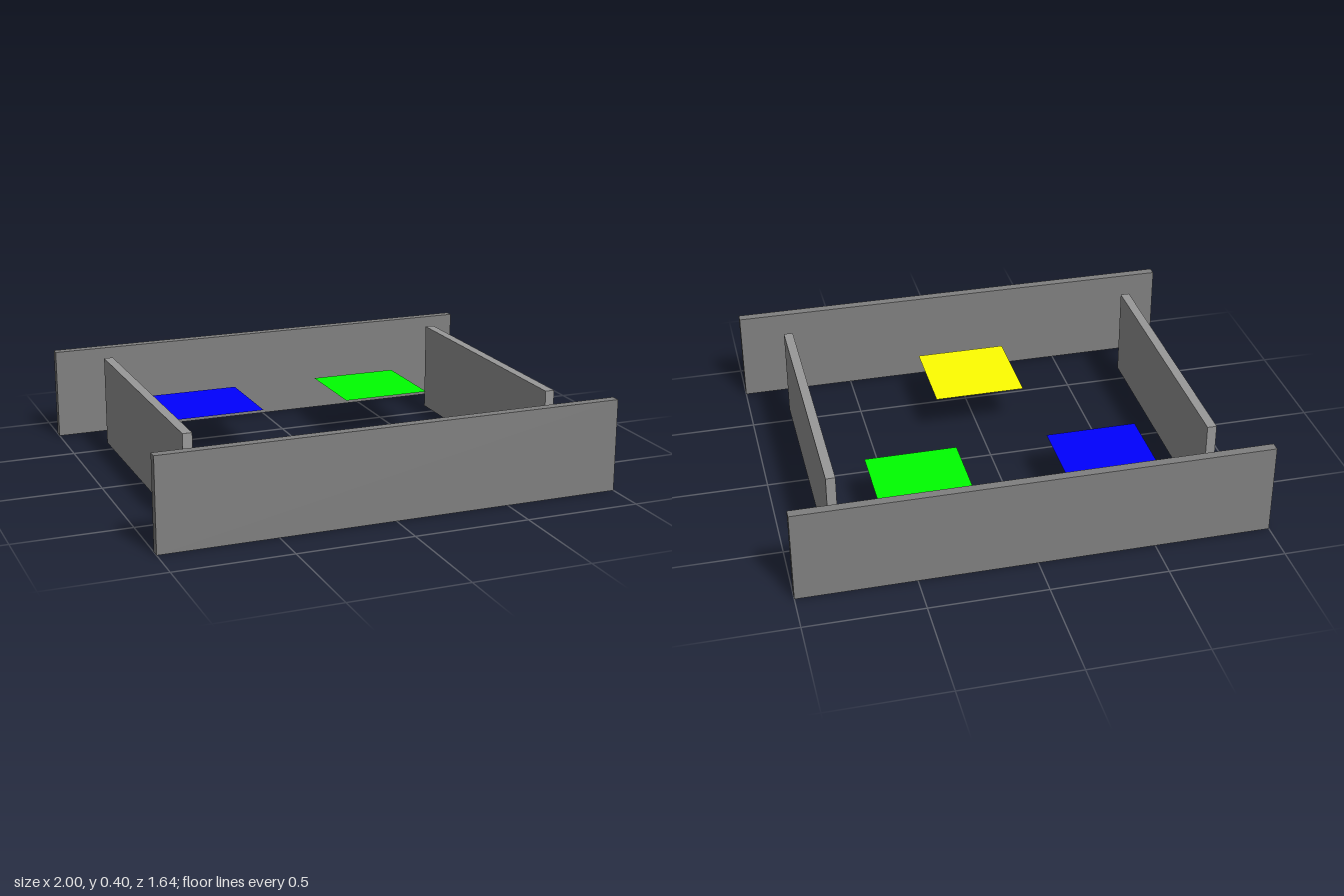
import * as THREE from 'three';

const material = (color, side = THREE.FrontSide) => new THREE.MeshStandardMaterial({ color, side });

export function createModel() {
  const model = new THREE.Group();
  model.name = 'walledArena';

  const add = (name, geometry, mat, x, y, z) => {
    const mesh = new THREE.Mesh(geometry, mat);
    mesh.name = name;
    mesh.position.set(x, y, z);
    model.add(mesh);
  };

  // Long walls at front and back, shorter walls at the sides
  const height = 0.4, thickness = 0.04;
  const longWall = new THREE.BoxGeometry(2, height, thickness);
  const sideWall = new THREE.BoxGeometry(thickness, height, 1.2);
  const longGrey = material(0x808080);
  const sideGrey = material(0x999999);
  for (const s of [1, -1]) {
    add(s > 0 ? 'frontWall' : 'backWall', longWall, longGrey, 0, height / 2, s * 0.8);
    add(s > 0 ? 'leftWall' : 'rightWall', sideWall, sideGrey, s * 0.8, height / 2, 0);
  }

  // Flat coloured pads at half the wall height
  const pad = new THREE.PlaneGeometry(0.4, 0.4).rotateX(-Math.PI / 2);
  const pads = [
    ['bluePad', 0x0000ff, -0.4, -0.4],
    ['greenPad', 0x00ff00, 0.4, -0.4],
    ['yellowPad', 0xffff00, 0, 0.4],
  ];
  for (const [name, color, x, z] of pads) {
    add(name, pad, material(color, THREE.DoubleSide), x, height / 2, z);
  }

  return model;
}
